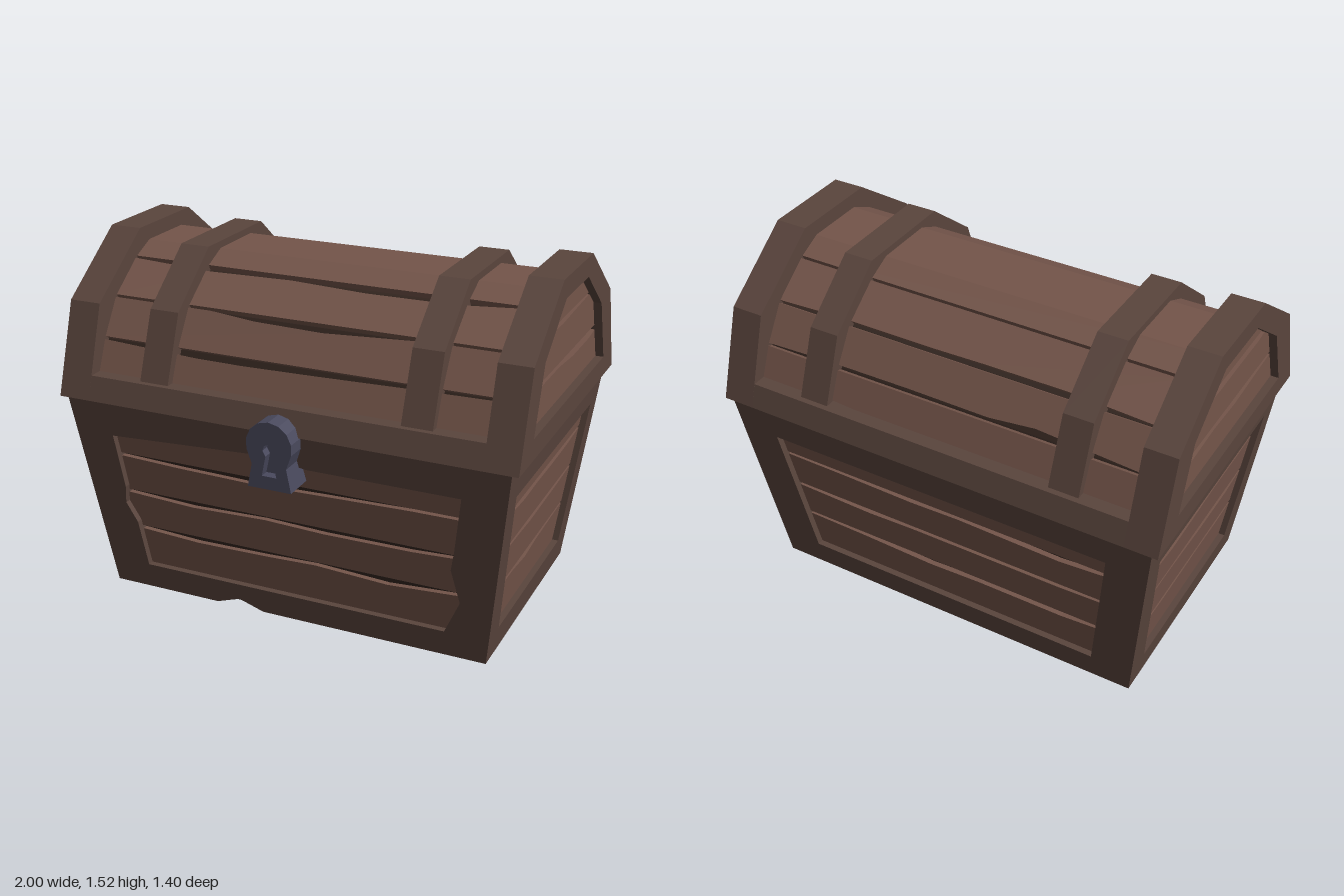
import * as THREE from 'three';

const mat = (color) => new THREE.MeshStandardMaterial({ color, flatShading: true });

export function createModel() {
  const frameMat = mat(0x5a453d), plankMat = mat(0x74554a), gapMat = mat(0x33251f), ironMat = mat(0x4a4a5e);
  const model = new THREE.Group();
  model.name = 'treasureChest';
  const chest = new THREE.Group();
  chest.name = 'chest';
  chest.position.z = -0.035;
  model.add(chest);

  let seed = 7;
  const rand = () => (seed = (seed * 16807) % 2147483647) / 2147483647;
  const shapeOf = (pts) => new THREE.Shape(pts.map(([x, y]) => new THREE.Vector2(x, y)));

  function add(name, geo, material) {
    const mesh = new THREE.Mesh(geo, material);
    mesh.name = name;
    chest.add(mesh);
    return mesh;
  }

  // Extrusion whose front face lies on z = 0
  function slab(pts, depth, hole) {
    const shape = shapeOf(pts);
    if (hole) shape.holes.push(shapeOf(hole));
    return new THREE.ExtrudeGeometry(shape, { depth, bevelEnabled: false }).translate(0, 0, -depth);
  }

  // Extrudes a (z, y) profile along x from x0 to x1
  function alongX(pts, x0, x1, hole) {
    return slab(pts, x1 - x0, hole).rotateY(Math.PI / 2).scale(1, 1, -1).scale(1, 1, -1).translate(x1, 0, 0);
  }

  // Board outline with a worn upper edge
  function board(wb, wt, y0, y1, wear) {
    const pts = [[-wb, y0], [wb, y0], [wt, y1]];
    if (wear) {
      for (const f of [0.55, 0.1, -0.25, -0.6]) pts.push([wt * (f + rand() * 0.15), y1 - wear * rand()]);
    }
    pts.push([-wt, y1]);
    return pts;
  }

  // ---- Body: four leaning walls, each a frame around recessed planks ----
  const H = 0.9;
  const rows = [0.08, 0.295, 0.47, 0.648, 0.8];
  function wall(name, wb, wt, base, top, angle, hole, notch = []) {
    const lean = new THREE.Matrix4().set(1, 0, 0, 0, 0, 1, 0, 0, 0, (top - base) / H, 1, base, 0, 0, 0, 1);
    const place = (g) => g.applyMatrix4(lean).rotateY(angle);
    add(name + 'Frame', place(slab([[-wb, 0], ...notch, [wb, 0], [wt, H], [-wt, H]], 0.06, hole)), frameMat);
    for (let i = 0; i < 4; i++) {
      const y0 = rows[i] + 0.007, y1 = rows[i + 1] - 0.005;
      const w = wb - 0.08 + (wt - wb) * y0 / H;
      const g = slab(board(w, w, y0, y1, i < 3 ? 0.026 : 0), 0.03);
      add(name + 'Plank', place(g.translate(0, 0, -0.028)), plankMat);
    }
  }
  const chippedHole = [[-0.69, 0.115], [0.685, 0.115], [0.755, 0.27], [0.72, 0.42], [0.735, 0.5], [0.77, 0.755],
    [0.12, 0.755], [-0.05, 0.785], [-0.775, 0.745], [-0.75, 0.5], [-0.76, 0.42], [-0.715, 0.33]];
  const plainHole = [[-0.69, 0.115], [0.69, 0.115], [0.775, 0.755], [-0.775, 0.755]];
  const endHole = [[-0.42, 0.115], [0.42, 0.115], [0.525, 0.755], [-0.525, 0.755]];
  wall('front', 0.86, 0.97, 0.525, 0.652, 0, chippedHole, [[-0.36, 0], [-0.25, 0.04], [-0.14, 0]]);
  wall('back', 0.86, 0.97, 0.525, 0.652, Math.PI, plainHole);
  wall('leftEnd', 0.525, 0.652, 0.86, 0.97, Math.PI / 2, endHole);
  wall('rightEnd', 0.525, 0.652, 0.86, 0.97, -Math.PI / 2, endHole);

  // Dark tapered core closing the floor and the gaps
  const core = new THREE.BoxGeometry(2, H, 2).translate(0, H / 2, 0);
  const p = core.attributes.position;
  for (let i = 0; i < p.count; i++) {
    const t = p.getY(i) / H;
    p.setX(i, p.getX(i) * (0.808 + 0.11 * t));
    p.setZ(i, p.getZ(i) * (0.473 + 0.127 * t));
  }
  add('bodyCore', core, gapMat);

  // ---- Lid ----
  const mirrorProfile = (half) => [...half, ...half.map(([z, y]) => [-z, y]).reverse()];
  const endOuter = mirrorProfile([[0.665, 0.9], [0.54, 1.285], [0.205, 1.525]]);
  const endInner = mirrorProfile([[0.5, 0.99], [0.4, 1.26], [0.155, 1.44]]);
  const barrelHalf = [[0.58, 0.98], [0.515, 1.13], [0.415, 1.285], [0.245, 1.41], [0.135, 1.46]];
  const barrel = mirrorProfile(barrelHalf);
  const inset = (pts, k) => pts.map(([z, y]) => [z * k, 0.9 + (y - 0.9) * k]);

  add('lidCore', alongX([[0.6, 0.9], ...inset(barrel, 0.95), [-0.6, 0.9]], -0.92, 0.92), gapMat);

  // Arched end frames with recessed planks
  const lidRows = [[0.96, 1.135, 0.55, 0.53], [1.147, 1.315, 0.5, 0.45], [1.327, 1.47, 0.4, 0.22]];
  for (const side of [1, -1]) {
    const name = side > 0 ? 'left' : 'right';
    add(name + 'LidFrame', side > 0 ? alongX(endOuter, 0.86, 1, endInner) : alongX(endOuter, -1, -0.86, endInner), frameMat);
    for (const [y0, y1, wb, wt] of lidRows) {
      const g = slab(board(wb, wt, y0, y1, y1 < 1.4 ? 0.025 : 0), 0.05);
      add(name + 'LidPlank', g.translate(0, 0, 0.965).rotateY(side * Math.PI / 2), plankMat);
    }
  }

  // Rims along the lower front and back of the lid
  for (const s of [1, -1]) {
    const rim = [[0.665, 0.9], [0.632, 1.0], [0.5, 1.0], [0.5, 0.9]].map(([z, y]) => [z * s, y]);
    add(s > 0 ? 'frontRim' : 'backRim', alongX(rim, -0.88, 0.88), frameMat);
  }

  // Planks around the curved top
  for (let i = 0; i < barrel.length - 1; i++) {
    const [z0, y0] = barrel[i], [z1, y1] = barrel[i + 1];
    const dz = z1 - z0, dy = y1 - y0, len = Math.hypot(dz, dy);
    const crown = i >= 3 && i <= 5;
    const lo = crown && i > 3 ? 0 : 0.006, hi = crown && i < 5 ? 0 : 0.006;
    const g = slab(board(0.87, 0.87, lo, len - hi, crown ? 0 : 0.028), 0.025);
    add('lidTopPlank', g.rotateX(Math.atan2(dz, dy)).translate(0, y0, z0), plankMat);
  }

  // Two straps bent over the lid
  const strapOuter = mirrorProfile([[0.615, 0.98], [0.5, 1.28], [0.235, 1.49]]);
  const strapInner = mirrorProfile([[0.53, 0.98], [0.42, 1.23], [0.19, 1.4]]).reverse();
  for (const x of [-0.575, 0.575]) {
    add('lidStrap', alongX([...strapOuter, ...strapInner], x - 0.065, x + 0.065), frameMat);
  }

  // ---- Lock: arched plate with a keyhole over a solid back ----
  const plate = [[-0.095, 0.69], [0.095, 0.69], [0.075, 0.79]];
  for (let i = 0; i <= 8; i++) {
    const a = -0.25 + (Math.PI + 0.5) * i / 8;
    plate.push([0.1 * Math.cos(a), 0.875 + 0.1 * Math.sin(a)]);
  }
  plate.push([-0.075, 0.79]);
  const keyhole = [[-0.032, 0.745], [0.032, 0.745], [0.014, 0.83]];
  for (let i = 0; i <= 6; i++) {
    const a = -0.9 + (Math.PI + 1.8) * i / 6;
    keyhole.push([0.027 * Math.cos(a), 0.855 + 0.027 * Math.sin(a)]);
  }
  keyhole.push([-0.014, 0.83]);
  add('lockPlate', slab(plate, 0.04, keyhole).translate(0.01, 0, 0.732), ironMat);
  add('lockBack', slab(plate, 0.13).translate(0.01, 0, 0.692), ironMat);

  return model;
}
